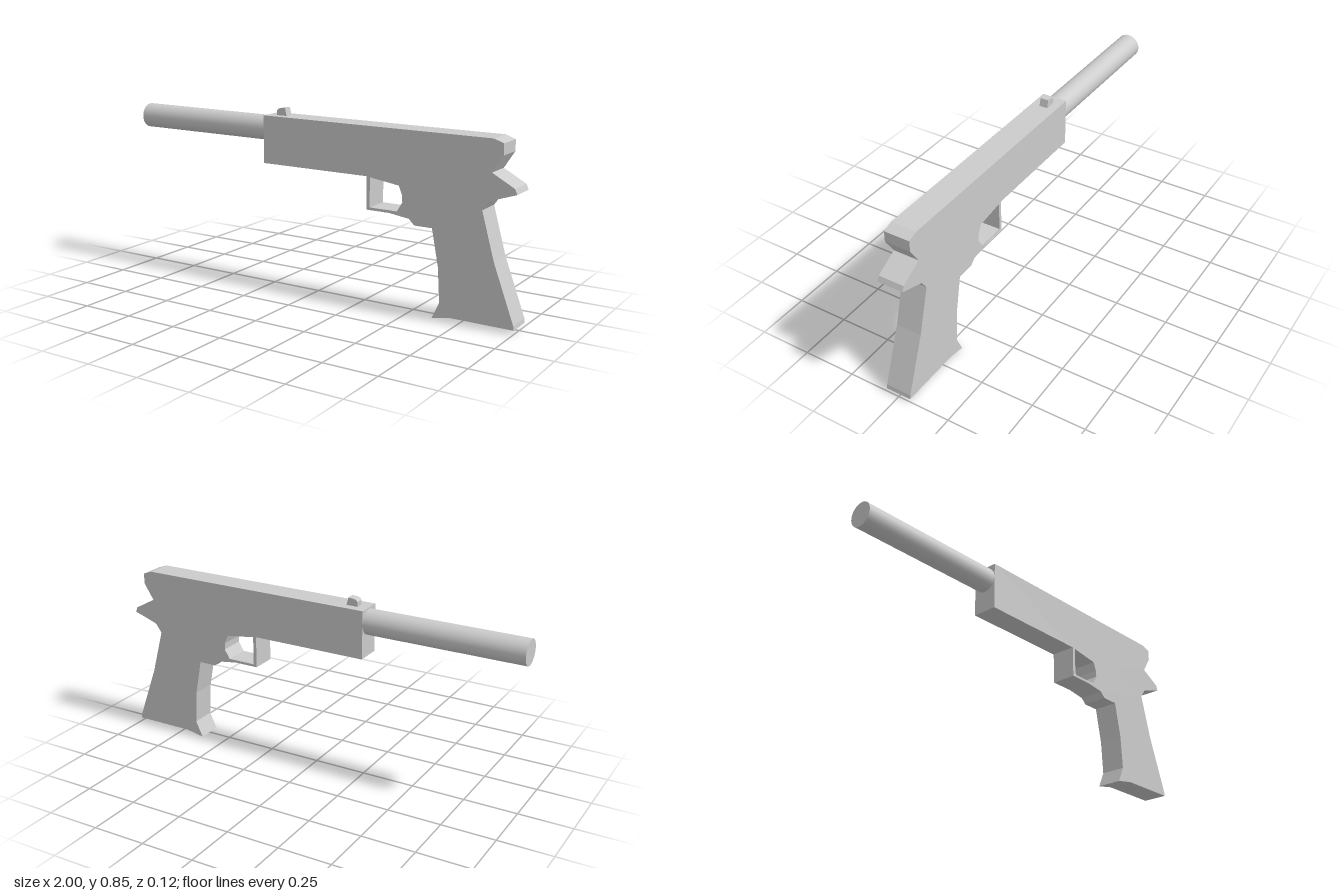
import * as THREE from 'three';

const material = new THREE.MeshStandardMaterial({ color: 0xcccccc });
const points = (list) => list.map(([x, y]) => new THREE.Vector2(x, y));

// Extrudes a side profile to a given width, centred on z = 0
function slab(name, outline, width, hole) {
  const shape = new THREE.Shape(points(outline));
  if (hole) shape.holes.push(new THREE.Path(points(hole)));
  const geometry = new THREE.ExtrudeGeometry(shape, { depth: width, bevelEnabled: false });
  geometry.translate(0, 0, -width / 2);
  const mesh = new THREE.Mesh(geometry, material);
  mesh.name = name;
  return mesh;
}

export function createModel() {
  const model = new THREE.Group();
  model.name = 'pistol';

  // Slide, hammer, grip and trigger guard share one flat profile
  const frame = [
    [-0.262, 0.593], [0.289, 0.593], [0.289, 0.443], [0.404, 0.443], // underside, guard
    [0.5, 0.43], [0.527, 0.404], [0.612, 0.404],
    [0.645, 0.235], [0.655, 0.078], [0.62, 0.003], [0.71, 0.02], // front of grip
    [1, 0.02], [0.997, 0.04], [0.9, 0.3], [0.84, 0.513], // back of grip
    [0.87, 0.555], [0.99, 0.595], [0.98, 0.619], [0.877, 0.675], // tang
    [0.925, 0.75], [0.925, 0.8], [0.88, 0.816], [-0.262, 0.816], // rear and top
  ];
  const guardOpening = [
    [0.305, 0.59], [0.449, 0.57], [0.465, 0.53],
    [0.467, 0.498], [0.441, 0.455], [0.305, 0.455],
  ];
  model.add(slab('frame', frame, 0.12, guardOpening));

  // Front sight
  const sight = [[-0.215, 0.81], [-0.16, 0.81], [-0.17, 0.852], [-0.205, 0.848], [-0.215, 0.838]];
  model.add(slab('frontSight', sight, 0.04));

  // Round barrel running out along -x
  const barrel = new THREE.Mesh(new THREE.CylinderGeometry(0.058, 0.058, 0.75, 32), material);
  barrel.name = 'barrel';
  barrel.rotation.z = Math.PI / 2;
  barrel.position.set(-0.625, 0.751, 0);
  model.add(barrel);

  return model;
}
